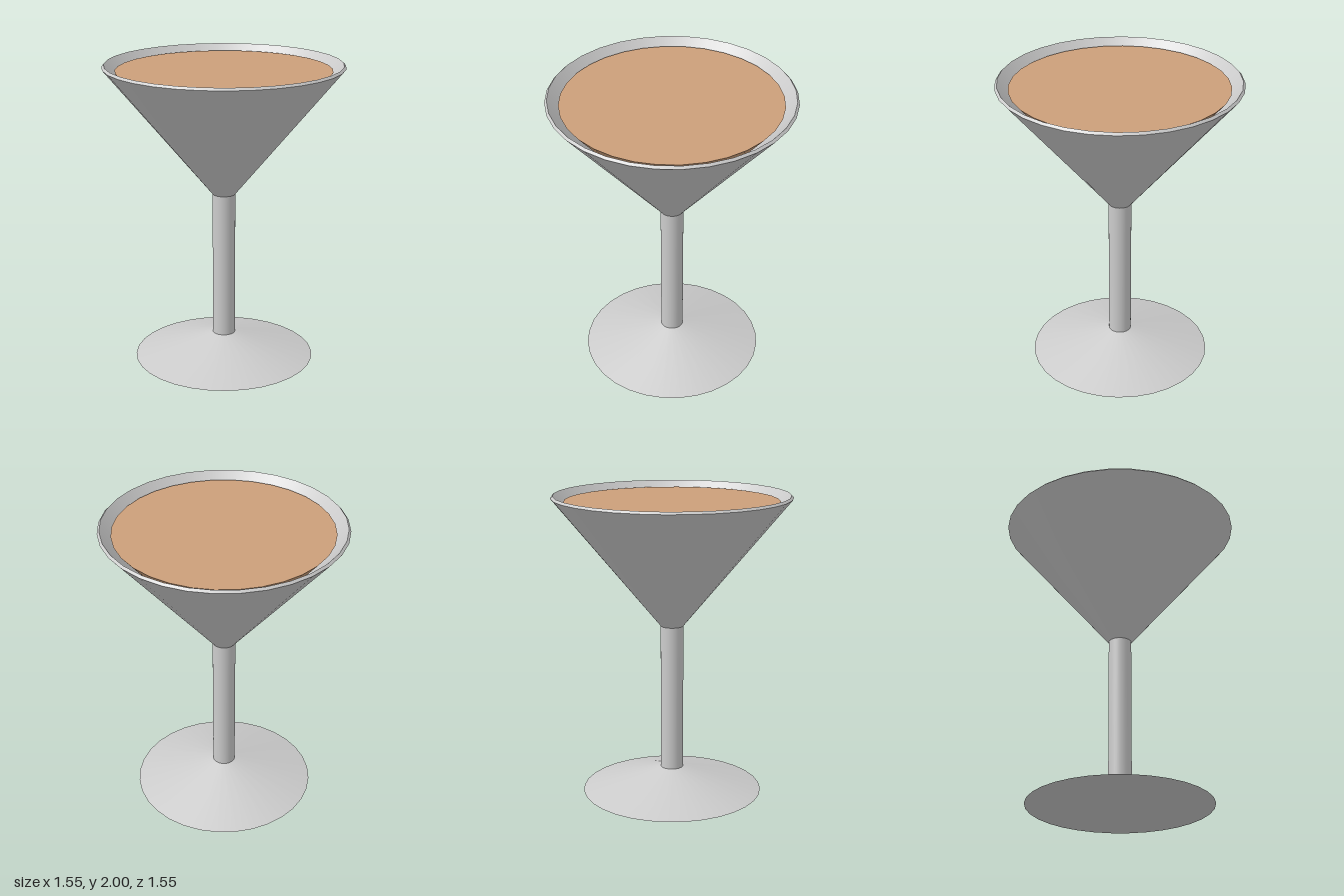
import * as THREE from 'three';

const SIDES = 32;

export function createModel() {
  const group = new THREE.Group();
  const grey = new THREE.MeshStandardMaterial({ color: 0xcccccc });
  const drink = new THREE.MeshStandardMaterial({ color: 0xcc9f7a });

  // Revolves each straight profile segment on its own, so edges stay sharp
  // while the sides are smooth. Profiles run counter-clockwise (outside upward).
  function turned(name, profile, material) {
    const part = new THREE.Group();
    part.name = name;
    for (let i = 0; i < profile.length - 1; i++) {
      const points = [profile[i], profile[i + 1]].map(([r, y]) => new THREE.Vector2(r, y));
      const mesh = new THREE.Mesh(new THREE.LatheGeometry(points, SIDES), material);
      mesh.name = `${name}Surface${i + 1}`;
      part.add(mesh);
    }
    group.add(part);
  }

  // Wide conical foot with a flat underside
  turned('foot', [[0, 0], [0.6, 0], [0.075, 0.155]], grey);

  // Straight stem
  turned('stem', [[0.075, 0.155], [0.075, 1.135]], grey);

  // Thin-walled conical bowl: underside, outer wall, bevelled rim, inner wall, floor
  turned('bowl', [[0, 1.135], [0.075, 1.135], [0.777, 1.985], [0.763, 2], [0.055, 1.143], [0, 1.143]], grey);

  // Drink filling the bowl to just below the rim
  turned('drink', [[0, 1.15], [0.025, 1.15], [0.695, 1.96], [0, 1.96]], drink);

  return group;
}
